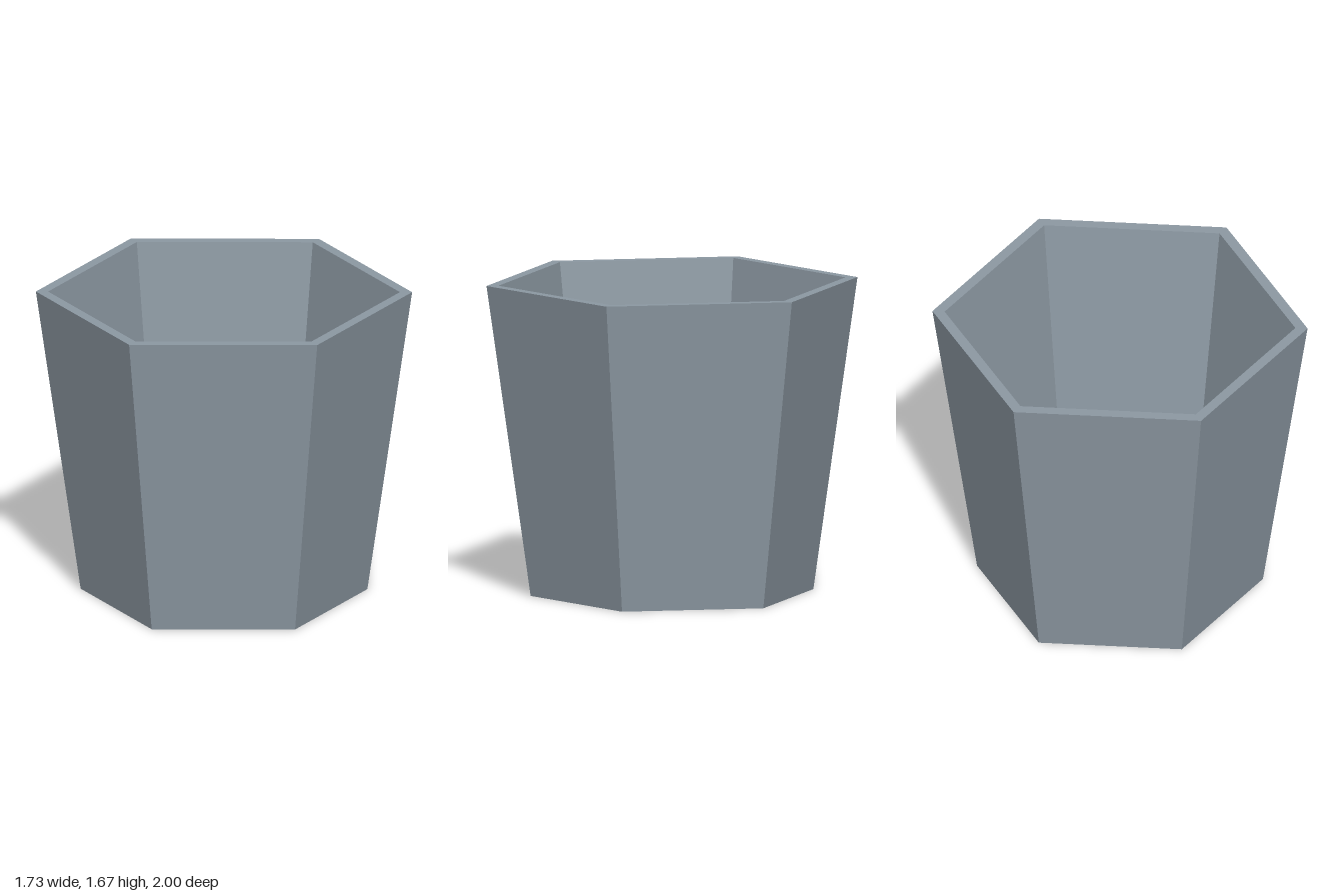
import * as THREE from 'three';

const HEIGHT = 1.67, FLOOR = 0.067;
const OUTER_BASE = 0.762, OUTER_TOP = 1, INNER_TOP = 0.935, INNER_BASE = 0.707;
const HOLE = 0.097;

// Lathe from [radius, y] points; the faces look outward where the profile rises
function lathe(points, sides) {
  return new THREE.LatheGeometry(points.map(([r, y]) => new THREE.Vector2(r, y)), sides);
}

// Hexagonal sheet with a round hole, facing up or down
function hexSheet(radius, y, up) {
  const corners = [];
  for (let i = 0; i < 6; i++) {
    const a = Math.PI / 2 + (i * Math.PI) / 3;
    corners.push(new THREE.Vector2(radius * Math.cos(a), radius * Math.sin(a)));
  }
  const shape = new THREE.Shape(corners);
  shape.holes.push(new THREE.Path().absarc(0, 0, HOLE, 0, Math.PI * 2, true));
  return new THREE.ShapeGeometry(shape, 24)
    .rotateX(up ? -Math.PI / 2 : Math.PI / 2)
    .translate(0, y, 0);
}

export function createModel() {
  const group = new THREE.Group();
  group.name = 'hexagonalPlanter';
  const clay = new THREE.MeshStandardMaterial({ color: 0x8c98a2 });
  clay.name = 'blueGrey';

  const add = (name, geometry) => {
    const mesh = new THREE.Mesh(geometry, clay);
    mesh.name = name;
    group.add(mesh);
  };

  // Six-sided wall: outside, rim and inside with crisp facets
  const wall = lathe(
    [[OUTER_BASE, 0], [OUTER_TOP, HEIGHT], [INNER_TOP, HEIGHT], [INNER_BASE, FLOOR]], 6
  ).toNonIndexed();
  wall.computeVertexNormals();
  add('wall', wall);

  // Floor and underside, pierced by the drain hole
  add('floor', hexSheet(INNER_BASE, FLOOR, true));
  add('underside', hexSheet(OUTER_BASE, 0, false));
  add('drainHole', lathe([[HOLE, FLOOR], [HOLE, 0]], 48));

  return group;
}
